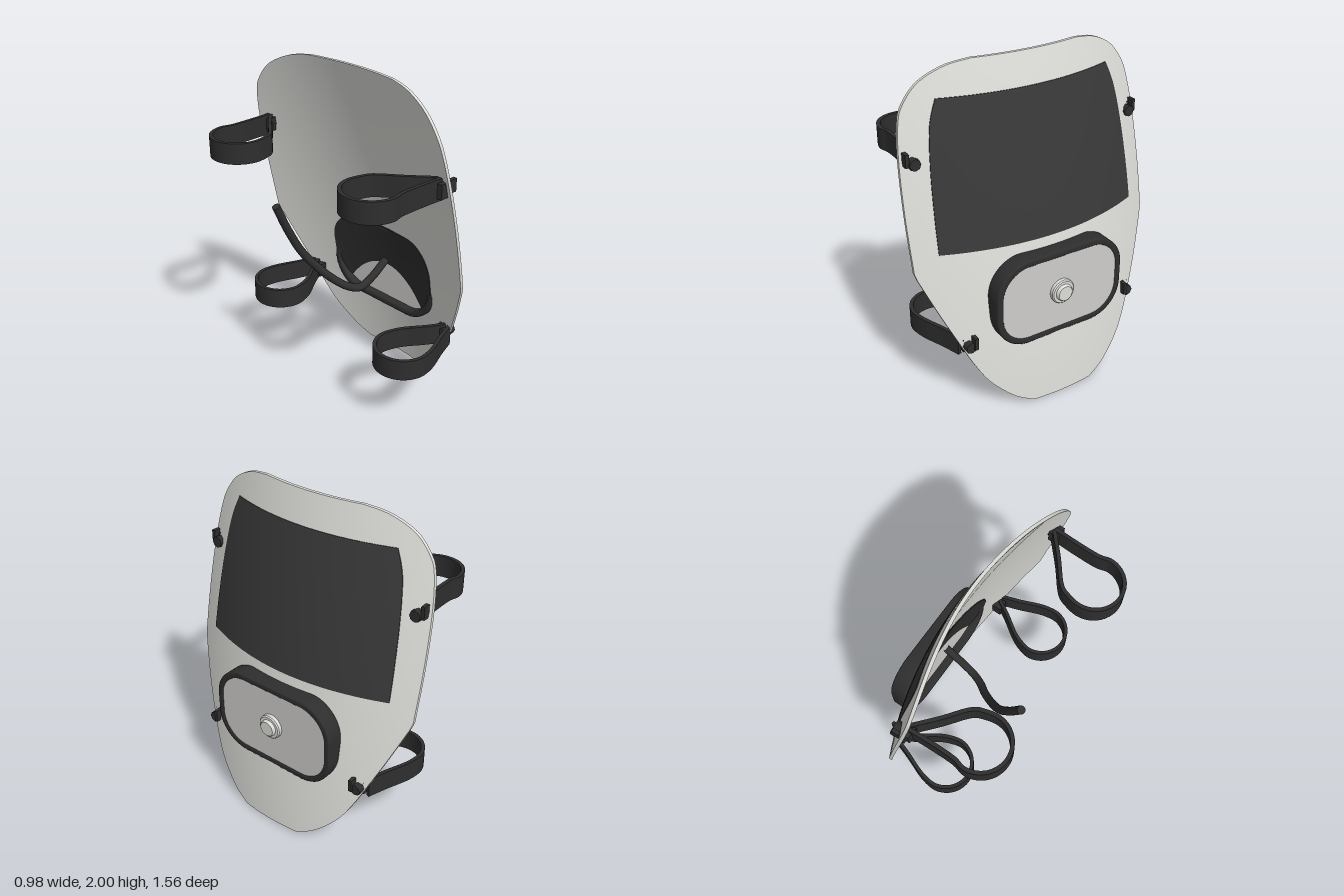
import * as THREE from 'three';
import { toCreasedNormals } from 'three/addons/utils/BufferGeometryUtils.js';

const mat = (name, color) => Object.assign(new THREE.MeshStandardMaterial({ color }), { name });

// Curved outer face of the shield: leans back with height, wraps back to the sides
const surfaceX = (y, z) => 0.485 - 0.0865 * y - 0.0555 * y * y - 0.325 * z * z;

// Solid sheet following the shield curve; rows are (halfWidth, y) from bottom to top
function sheet(rows, inner, outer, cols = 32) {
  const pos = [], idx = [], m = rows.length, n = cols + 1, back = m * n;
  for (const off of [outer, inner])
    for (const r of rows)
      for (let j = 0; j < n; j++) {
        const z = r.x * (2 * j / cols - 1);
        pos.push(surfaceX(r.y, z) + off, r.y, z);
      }
  for (let i = 0; i < m - 1; i++)
    for (let j = 0; j < cols; j++) {
      const a = i * n + j, b = a + 1, c = a + n, d = c + 1;
      idx.push(a, c, b, b, c, d);
      idx.push(back + a, back + b, back + c, back + b, back + d, back + c);
    }
  // rim around the perimeter
  const loop = [];
  for (let j = 0; j < cols; j++) loop.push(j);
  for (let i = 0; i < m - 1; i++) loop.push(i * n + cols);
  for (let j = cols; j > 0; j--) loop.push((m - 1) * n + j);
  for (let i = m - 1; i > 0; i--) loop.push(i * n);
  loop.forEach((p, k) => {
    const q = loop[(k + 1) % loop.length];
    idx.push(p, q, back + p, q, back + q, back + p);
  });
  const g = new THREE.BufferGeometry();
  g.setAttribute('position', new THREE.Float32BufferAttribute(pos, 3));
  g.setIndex(idx);
  return toCreasedNormals(g, 0.6);
}

const v2 = (pts) => pts.map(([a, b]) => new THREE.Vector2(a, b));

function roundedRect(w, h, r, Type = THREE.Shape) {
  const s = new Type();
  s.absarc(w - r, h - r, r, 0, Math.PI / 2);
  s.absarc(r - w, h - r, r, Math.PI / 2, Math.PI);
  s.absarc(r - w, r - h, r, Math.PI, Math.PI * 1.5);
  s.absarc(w - r, r - h, r, Math.PI * 1.5, Math.PI * 2);
  s.closePath();
  return s;
}

// Flat band bent along a path in the x-z plane, standing upright in y
function band(points, height, y, side) {
  const curve = new THREE.SplineCurve(v2(points));
  const left = [], right = [];
  for (let i = 0; i <= 72; i++) {
    const p = curve.getPoint(i / 72), t = curve.getTangent(i / 72);
    left.push(new THREE.Vector2(p.x - t.y * 0.011, -side * (p.y + t.x * 0.011)));
    right.push(new THREE.Vector2(p.x + t.y * 0.011, -side * (p.y - t.x * 0.011)));
  }
  const g = new THREE.ExtrudeGeometry(new THREE.Shape([...left, ...right.reverse()]),
    { depth: height, bevelEnabled: false });
  g.rotateX(-Math.PI / 2).translate(0, y - height / 2, 0);
  return toCreasedNormals(g, 0.7);
}

// Teardrop path: two end points joined round a circular loop
function strapPath(cx, lead, tail) {
  const pts = [...lead];
  for (let k = 0; k <= 8; k++) {
    const a = Math.PI / 2 + k * Math.PI / 8;
    pts.push([cx + 0.16 * Math.cos(a), 0.537 + 0.16 * Math.sin(a)]);
  }
  return [...pts, ...tail];
}

export function createModel() {
  const model = new THREE.Group();
  model.name = 'faceShield';
  const shell = mat('pale grey shell', 0xdcdcd8);
  const plateMat = mat('light grey plate', 0xcecdcb);
  const glass = mat('dark window', 0x383838);
  const rubber = mat('black rubber', 0x2e2e2e);
  const add = (name, geo, material, parent = model) => {
    const mesh = new THREE.Mesh(geo, material);
    mesh.name = name;
    parent.add(mesh);
    return mesh;
  };

  // Shield body: straight taper below the cheek corner, rounded top
  const lower = new THREE.SplineCurve(v2([[0.2, 0], [0.32, 0.065], [0.45, 0.19], [0.53, 0.32],
    [0.6, 0.47], [0.68, 0.65], [0.765, 0.86]])).getPoints(28);
  const upper = new THREE.SplineCurve(v2([[0.776, 0.9], [0.778, 1.2], [0.765, 1.5], [0.738, 1.7],
    [0.7, 1.8], [0.61, 1.905], [0.47, 1.975], [0.33, 2]])).getPoints(36);
  add('shield', sheet([...lower, ...upper], -0.02, 0), shell);

  // Viewing window
  const win = new THREE.SplineCurve(v2([[0.645, 1.0], [0.64, 1.2], [0.625, 1.45],
    [0.595, 1.68], [0.545, 1.82]])).getPoints(20);
  add('window', sheet(win, -0.004, 0.004), glass);

  // Dark pad on the inside, behind the filter
  const padRows = [];
  for (let k = 0; k <= 24; k++) {
    const a = -Math.PI / 2 + k * Math.PI / 24;
    padRows.push(new THREE.Vector2(0.21 + 0.2 * Math.cos(a),
      0.67 + (k < 12 ? -0.065 : 0.065) + 0.2 * Math.sin(a)));
  }
  add('innerPad', sheet(padRows, -0.026, -0.018), rubber);

  // Filter: bevelled rim, face plate and round valve
  const filter = new THREE.Group();
  filter.name = 'filter';
  filter.position.set(0, 0.67, 0);
  model.add(filter);
  const rim = roundedRect(0.412, 0.262, 0.2);
  rim.holes.push(roundedRect(0.39, 0.24, 0.18, THREE.Path));
  const rimGeo = new THREE.ExtrudeGeometry(rim, { depth: 0.09, bevelThickness: 0.01,
    bevelSize: 0.009, bevelSegments: 3, curveSegments: 16 });
  add('filterRim', toCreasedNormals(rimGeo.rotateY(Math.PI / 2).translate(0.341, 0, 0), 0.7),
    rubber, filter);
  const plate = new THREE.ExtrudeGeometry(roundedRect(0.39, 0.24, 0.18),
    { depth: 0.06, bevelEnabled: false, curveSegments: 16 });
  add('filterPlate', plate.rotateY(Math.PI / 2).translate(0.377, 0, 0), plateMat, filter);
  const valve = new THREE.LatheGeometry(v2([[0.075, 0.42], [0.075, 0.458], [0.068, 0.465],
    [0.052, 0.465], [0.05, 0.478], [0.045, 0.484], [0, 0.484]]), 32);
  valve.rotateZ(-Math.PI / 2).translate(0, 0.01, 0);
  add('valve', toCreasedNormals(valve, 0.6), shell, filter);

  // Breathing hose on the inside
  const hose = new THREE.CatmullRomCurve3([[-0.345, 1.225, -0.19], [-0.26, 1.04, -0.188],
    [-0.17, 0.87, -0.165], [-0.03, 0.69, -0.085], [0.06, 0.615, -0.02], [0.13, 0.593, 0.01],
    [0.22, 0.63, 0.02], [0.345, 0.71, 0.02]].map((p) => new THREE.Vector3(...p)));
  add('hose', new THREE.TubeGeometry(hose, 60, 0.025, 14), rubber);
  const cap = add('hoseEnd', new THREE.CircleGeometry(0.025, 14), rubber);
  cap.position.copy(hose.getPoint(0));
  cap.lookAt(hose.getPoint(0).sub(hose.getTangent(0)));

  // Strap loops and their clips, mirrored left and right
  const straps = [
    { name: 'upperStrap', y: 1.502, clipZ: 0.7, hookZ: 0.738,
      path: strapPath(-0.32, [[0.03, 0.69], [-0.1, 0.683], [-0.25, 0.682]],
        [[-0.25, 0.39], [-0.18, 0.425], [-0.08, 0.55], [0.03, 0.675]]) },
    { name: 'lowerStrap', y: 0.445, clipZ: 0.548, hookZ: 0.522,
      path: strapPath(-0.045, [[0.3, 0.59], [0.18, 0.63], [0.05, 0.68]],
        [[0.03, 0.395], [0.1, 0.43], [0.2, 0.5], [0.3, 0.56]]) },
  ];
  for (const s of straps)
    for (const side of [1, -1]) {
      const g = new THREE.Group();
      g.name = s.name;
      model.add(g);
      add('strapBand', band(s.path, 0.125, s.y, side), rubber, g);
      const x = surfaceX(s.y, s.clipZ);
      const stud = add('clipStud', new THREE.CylinderGeometry(0.034, 0.034, 0.06, 8), rubber, g);
      stud.rotation.z = -Math.PI / 2;
      stud.position.set(x, s.y, side * s.clipZ);
      const hook = add('clipHook', new THREE.BoxGeometry(0.045, 0.075, 0.022), rubber, g);
      hook.position.set(surfaceX(s.y, s.hookZ) + 0.012, s.y + 0.025, side * s.hookZ);
      const block = add('clipBlock', new THREE.BoxGeometry(0.06, 0.085, 0.07), rubber, g);
      block.position.set(x - 0.045, s.y, side * (s.clipZ - 0.005));
    }
  return model;
}
